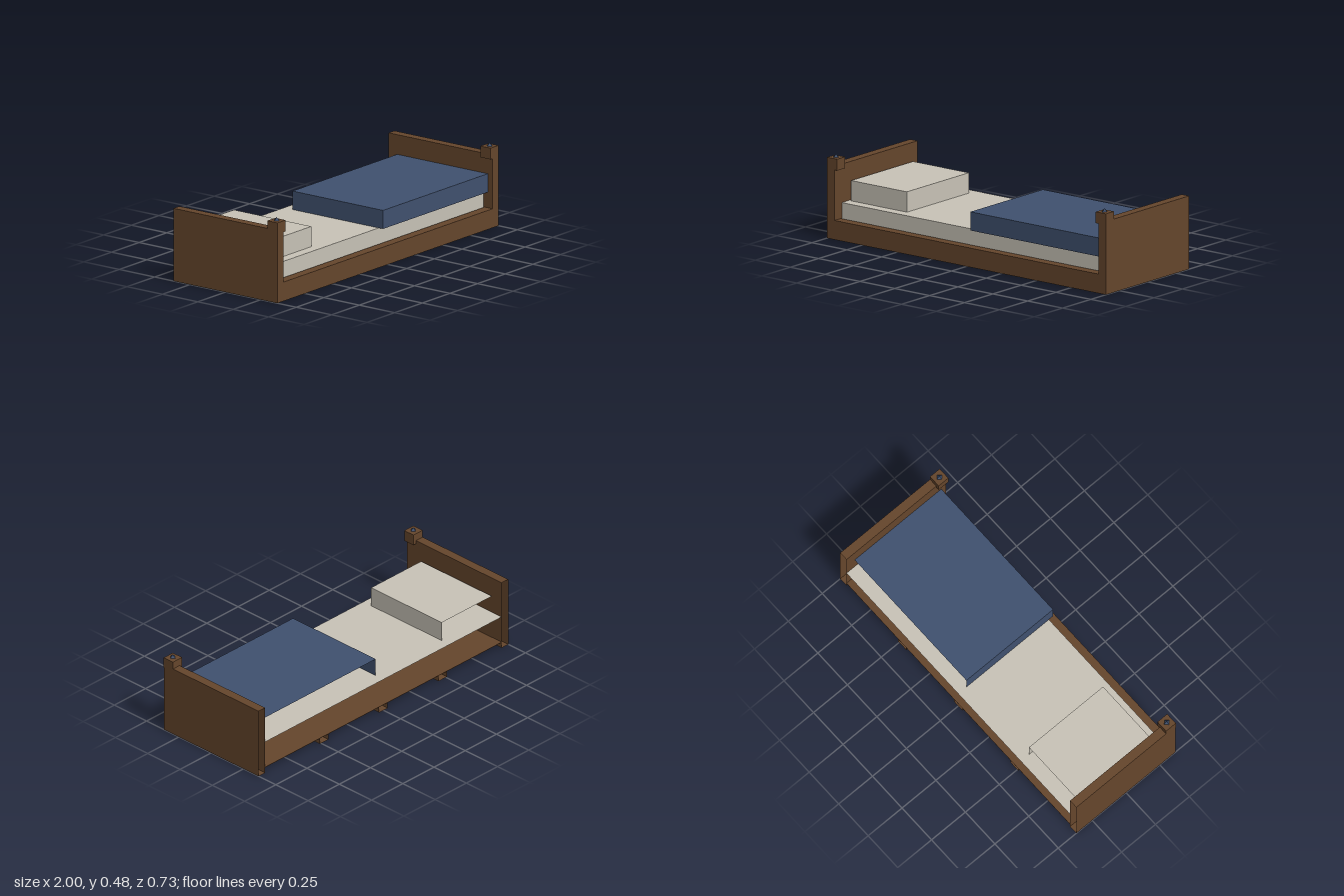
import * as THREE from 'three';

const FACES = ['+x', '-x', '+y', '-y', '+z', '-z'];

export function createModel() {
  const bed = new THREE.Group();
  bed.name = 'bed';

  const material = (name, color) => {
    const m = new THREE.MeshStandardMaterial({ color, side: THREE.DoubleSide });
    m.name = name;
    return m;
  };
  const wood = material('brown wood', 0x66462c);
  const linen = material('pale linen', 0xc9c4b8);
  const blue = material('blue cloth', 0x40516f);

  // Box between two corners, leaving out the listed open faces
  const shell = (name, mat, [x0, y0, z0], [x1, y1, z1], open = []) => {
    const g = new THREE.BoxGeometry(x1 - x0, y1 - y0, z1 - z0);
    const kept = [];
    FACES.forEach((face, i) => {
      if (!open.includes(face)) kept.push(...g.index.array.slice(i * 6, i * 6 + 6));
    });
    g.setIndex(kept);
    g.clearGroups();
    const mesh = new THREE.Mesh(g, mat);
    mesh.name = name;
    mesh.position.set((x0 + x1) / 2, (y0 + y1) / 2, (z0 + z1) / 2);
    bed.add(mesh);
  };

  const back = -0.367, front = 0.367, inner = 0.947, baseY = 0.035;

  // End boards with a raised post block and finial at the front corner
  for (const s of [-1, 1]) {
    const side = s < 0 ? 'right' : 'left';
    const span = (a, b) => [Math.min(s * a, s * b), Math.max(s * a, s * b)];
    const [b0, b1] = span(inner, 1);
    shell(side + 'EndBoard', wood, [b0, 0, back], [b1, 0.421, front], ['-z']);
    const [p0, p1] = span(0.927, 1);
    shell(side + 'PostBlock', wood, [p0, 0.4, 0.296], [p1, 0.465, front + 0.0005]);

    const finial = new THREE.Mesh(new THREE.ConeGeometry(0.019, 0.019, 4).toNonIndexed(), blue);
    finial.geometry.computeVertexNormals();
    finial.name = side + 'Finial';
    finial.position.set(s * 0.963, 0.4745, 0.333);
    bed.add(finial);
  }

  // Front rail, base panel and the cross slats beneath it
  shell('frontRail', wood, [-inner, 0, 0.31], [inner, 0.11, front], ['+x', '-x']);
  shell('basePanel', wood, [-inner, baseY, back], [inner, baseY + 0.002, 0.31], ['+x', '-x', '+z']);
  for (const x of [-0.475, 0, 0.475]) {
    shell('slat', wood, [x - 0.034, 0, back], [x + 0.034, baseY, 0.31], ['+y', '+z', '-z']);
  }

  // Bedding, open at the wall side and underneath
  shell('mattress', linen, [-inner, baseY, back], [inner, 0.2, 0.302], ['+x', '-x', '-y', '-z']);
  shell('pillow', linen, [-0.93, 0.2, -0.307], [-0.53, 0.317, 0.24], ['-x', '-y', '-z']);
  shell('blanket', blue, [0, 0.2, -0.307], [inner, 0.307, 0.333], ['+x', '-y', '-z']);

  return bed;
}
